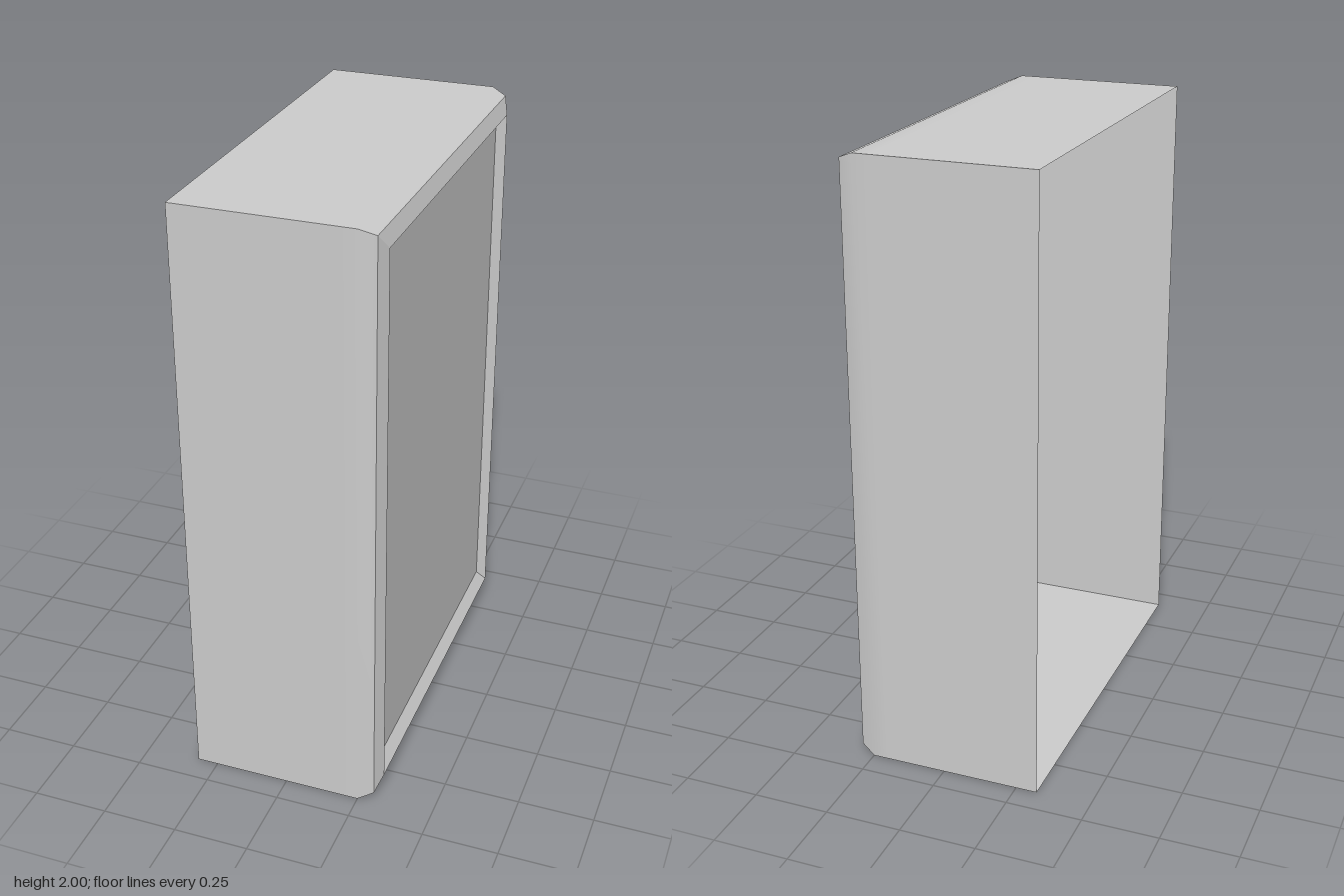
import * as THREE from 'three';
import { toCreasedNormals } from 'three/addons/utils/BufferGeometryUtils.js';

// Rectangular cross-sections: [x, half depth, bottom, top]
const casing = [
  [-0.32, 0.665, 0, 2],
  [0.2, 0.665, 0, 2],
  [0.25, 0.665, 0, 2],
  [0.3, 0.645, 0.023, 1.98],
  [0.32, 0.6, 0.07, 1.93],
];
const recess = [
  [0.32, 0.6, 0.07, 1.93],
  [0.29, 0.575, 0.11, 1.895],
];

const corners = ([x, d, lo, hi]) => [[x, lo, -d], [x, hi, -d], [x, hi, d], [x, lo, d]];

// Joins successive rectangles with four walls each; optionally closes the last one
function loft(rings, capped) {
  const pos = [];
  const quad = (a, b, c, d) => pos.push(...a, ...b, ...c, ...a, ...c, ...d);
  for (let i = 0; i < rings.length - 1; i++) {
    const p = corners(rings[i]);
    const q = corners(rings[i + 1]);
    for (let j = 0; j < 4; j++) {
      const k = (j + 1) % 4;
      quad(p[j], p[k], q[k], q[j]);
    }
  }
  if (capped) quad(...corners(rings[rings.length - 1]));
  const geometry = new THREE.BufferGeometry();
  geometry.setAttribute('position', new THREE.Float32BufferAttribute(pos, 3));
  return toCreasedNormals(geometry, Math.PI / 6);
}

export function createModel() {
  const group = new THREE.Group();
  group.name = 'openBackedCasing';
  const material = new THREE.MeshStandardMaterial({ color: 0xcccccc, side: THREE.DoubleSide });
  const add = (name, geometry) => {
    const mesh = new THREE.Mesh(geometry, material);
    mesh.name = name;
    group.add(mesh);
  };

  // Thin shell, open at -x, with a bevelled rim at +x
  add('casing', loft(casing, false));

  // Sunken panel with sloping edges inside the rim
  add('recessedPanel', loft(recess, true));

  return group;
}
